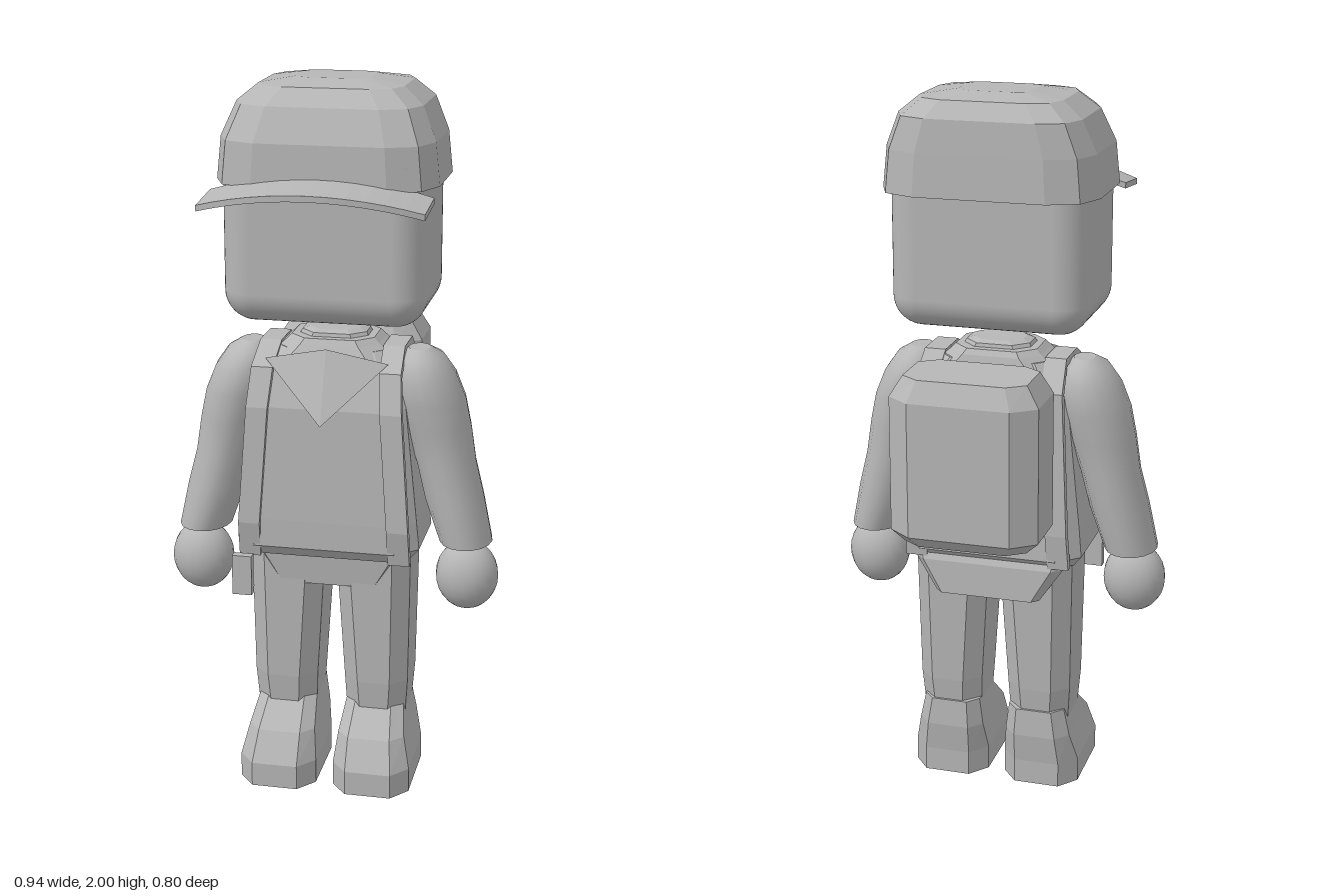
import * as THREE from 'three';
import { RoundedBoxGeometry } from 'three/addons/geometries/RoundedBoxGeometry.js';

const V = (x, y, z) => new THREE.Vector3(x, y, z);

// Skin a list of equal-length rings; end caps are separate so edges stay crisp.
function skin(rings, smooth = false) {
  const n = rings[0].length, pos = [], idx = [];
  const push = p => pos.push(p.x, p.y, p.z) / 3 - 1;
  rings.forEach(r => r.forEach(push));
  for (let i = 0; i < rings.length - 1; i++) {
    for (let j = 0; j < n; j++) {
      const a = i * n + j, b = i * n + (j + 1) % n;
      idx.push(a, a + n, b, b, a + n, b + n);
    }
  }
  [rings[0], rings[rings.length - 1]].forEach((r, end) => {
    const first = r.map(push)[0];
    const c = push(r.reduce((s, p) => s.add(p), V(0, 0, 0)).divideScalar(n));
    for (let j = 0; j < n; j++) {
      const a = first + j, b = first + (j + 1) % n;
      if (end) idx.push(c, b, a); else idx.push(c, a, b);
    }
  });
  let g = new THREE.BufferGeometry();
  g.setAttribute('position', new THREE.Float32BufferAttribute(pos, 3));
  g.setIndex(idx);
  if (!smooth) g = g.toNonIndexed();
  g.computeVertexNormals();
  return g;
}

// Rectangle with cut corners; k segments per corner, cuts cx and cz.
function ring(y, x0, x1, z0, z1, cx, cz, k) {
  const pts = [];
  [[x1 - cx, z1 - cz], [x0 + cx, z1 - cz], [x0 + cx, z0 + cz], [x1 - cx, z0 + cz]].forEach(([x, z], q) => {
    for (let i = 0; i <= k; i++) {
      const a = (q + i / k) * Math.PI / 2;
      pts.push(V(x + cx * Math.cos(a), y, z + cz * Math.sin(a)));
    }
  });
  return pts;
}

// Vertical loft from rows of [y, x0, x1, z0, z1, cornerX, cornerZ].
// side = -1 mirrors the rows across x.
function loft(rows, side = 1, k = 1) {
  return skin(rows.map(([y, x0, x1, z0, z1, cx, cz = cx]) =>
    side > 0 ? ring(y, x0, x1, z0, z1, cx, cz, k) : ring(y, -x1, -x0, z0, z1, cx, cz, k)));
}

export function createModel() {
  const model = new THREE.Group();
  model.name = 'capFigure';
  const grey = new THREE.MeshStandardMaterial({ color: 0xb6b6b6 });
  grey.name = 'lightGrey';
  grey.side = THREE.DoubleSide;
  const add = (name, geometry) => {
    const m = new THREE.Mesh(geometry, grey);
    m.name = name;
    model.add(m);
    return m;
  };

  // Head and faceted cap
  add('head', new RoundedBoxGeometry(0.55, 0.52, 0.4, 6, 0.085)).position.set(0, 1.62, 0.03);
  add('cap', loft([
    [1.735, -0.3, 0.3, -0.215, 0.245, 0.12, 0.12],
    [1.85, -0.288, 0.288, -0.21, 0.24, 0.115, 0.115],
    [1.94, -0.25, 0.25, -0.205, 0.2, 0.1, 0.1],
    [1.985, -0.195, 0.195, -0.17, 0.155, 0.08, 0.08],
    [2.0, -0.1, 0.1, -0.09, 0.07, 0.04, 0.03],
  ], 1, 2));

  // Arched brim, swept across x
  const brim = [];
  for (let i = 0; i <= 12; i++) {
    const t = i / 6 - 1, drop = 0.045 * t * t, front = 0.4 - 0.05 * t * t;
    const back = 1.765 - drop, tip = 1.75 - drop, h = 0.016, x = 0.298 * t;
    brim.push([V(x, tip - h, front), V(x, tip, front), V(x, back, 0.205), V(x, back - h, 0.205)]);
  }
  add('capBrim', skin(brim));

  // Jacket and neck
  add('torso', loft([
    [0.69, -0.235, 0.235, -0.125, 0.165, 0.05],
    [0.72, -0.258, 0.258, -0.145, 0.188, 0.06],
    [0.8, -0.25, 0.25, -0.14, 0.188, 0.06],
    [1.12, -0.215, 0.215, -0.13, 0.175, 0.06],
    [1.22, -0.2, 0.2, -0.11, 0.14, 0.05],
    [1.27, -0.16, 0.16, -0.085, 0.095, 0.04],
  ]));
  add('collar', loft([
    [1.25, -0.17, 0.17, -0.11, 0.13, 0.06],
    [1.285, -0.13, 0.13, -0.1, 0.11, 0.05],
    [1.3, -0.115, 0.115, -0.09, 0.1, 0.045],
  ]));
  add('neck', loft([
    [1.29, -0.1, 0.1, -0.07, 0.08, 0.04],
    [1.31, -0.09, 0.09, -0.065, 0.075, 0.04],
    [1.318, -0.07, 0.07, -0.05, 0.06, 0.03],
  ]));

  // Folded triangular neckerchief
  const scarf = new THREE.BufferGeometry();
  scarf.setAttribute('position', new THREE.Float32BufferAttribute([
    -0.17, 1.25, 0.14, 0, 1.09, 0.23, 0, 1.285, 0.15,
    0, 1.285, 0.15, 0, 1.09, 0.23, 0.17, 1.25, 0.14,
  ], 3));
  scarf.computeVertexNormals();
  add('neckerchief', scarf);

  // Hips and hanging pouch
  add('hips', loft([
    [0.595, -0.15, 0.15, -0.15, 0.13, 0.02],
    [0.69, -0.215, 0.215, -0.145, 0.14, 0.03],
    [0.72, -0.22, 0.22, -0.13, 0.14, 0.03],
  ]));
  add('beltPouch', new THREE.BoxGeometry(0.055, 0.115, 0.025)).position.set(-0.225, 0.64, 0.208);

  // Backpack
  add('backpack', loft([
    [0.822, -0.17, 0.17, -0.375, -0.175, 0.05, 0.035],
    [0.855, -0.205, 0.205, -0.402, -0.15, 0.065, 0.05],
    [1.23, -0.205, 0.205, -0.402, -0.15, 0.065, 0.05],
    [1.288, -0.17, 0.17, -0.375, -0.175, 0.05, 0.035],
  ]));

  // Shoulder strap centre line: front hem, over the shoulder, down the back
  const strapPath = [[0.21, 0.69, 0.168], [0.208, 0.79, 0.19], [0.185, 1.12, 0.178], [0.177, 1.22, 0.145],
    [0.172, 1.27, 0.06], [0.172, 1.27, -0.05], [0.18, 1.2, -0.12], [0.2, 0.8, -0.14], [0.205, 0.7, -0.13]];

  for (const s of [1, -1]) {
    const side = s > 0 ? 'left' : 'right';

    const path = strapPath.map(([x, y, z]) => V(s * x, y, z));
    add(side + 'Strap', skin(path.map((p, i) => {
      const t = path[Math.min(i + 1, path.length - 1)].clone().sub(path[Math.max(i - 1, 0)]);
      const n = V(0, -t.z, t.y).normalize();
      return [[1, -1], [1, 1], [-1, 1], [-1, -1]].map(([w, h]) =>
        p.clone().addScaledVector(n, h * 0.012).add(V(w * 0.03, 0, 0)));
    })));

    // Smooth sleeve: rows of [y, centre x, radius x, centre z, radius z]
    const sleeve = [
      [0.725, 0.375, 0.074, 0.03, 0.098], [0.85, 0.34, 0.083, 0.025, 0.104],
      [0.95, 0.315, 0.083, 0.02, 0.1], [1.05, 0.29, 0.093, 0.02, 0.107],
      [1.13, 0.268, 0.098, 0.02, 0.117], [1.2, 0.25, 0.087, 0.02, 0.115],
      [1.25, 0.24, 0.062, 0.02, 0.085], [1.272, 0.235, 0.03, 0.02, 0.04],
    ];
    add(side + 'Arm', skin(sleeve.map(([y, cx, rx, cz, rz]) =>
      Array.from({ length: 16 }, (_, j) => {
        const a = j / 16 * Math.PI * 2;
        return V(s * cx + rx * Math.cos(a), y, cz + rz * Math.sin(a));
      })), true));
    const hand = add(side + 'Hand', new THREE.SphereGeometry(1, 20, 14));
    hand.scale.set(0.088, 0.1, 0.077);
    hand.position.set(s * 0.382, 0.627, 0.047);

    // Leg and boot
    add(side + 'Leg', loft([
      [0.2, 0.045, 0.215, -0.09, 0.115, 0.045],
      [0.3, 0.04, 0.222, -0.1, 0.125, 0.045],
      [0.7, 0.015, 0.228, -0.112, 0.133, 0.045],
    ], s));
    add(side + 'Boot', loft([
      [0, 0.025, 0.245, -0.095, 0.235, 0.045, 0.055],
      [0.07, 0.025, 0.245, -0.095, 0.235, 0.045, 0.055],
      [0.155, 0.035, 0.225, -0.105, 0.19, 0.035, 0.04],
      [0.235, 0.045, 0.208, -0.1, 0.1, 0.03, 0.035],
    ], s));
  }
  return model;
}
